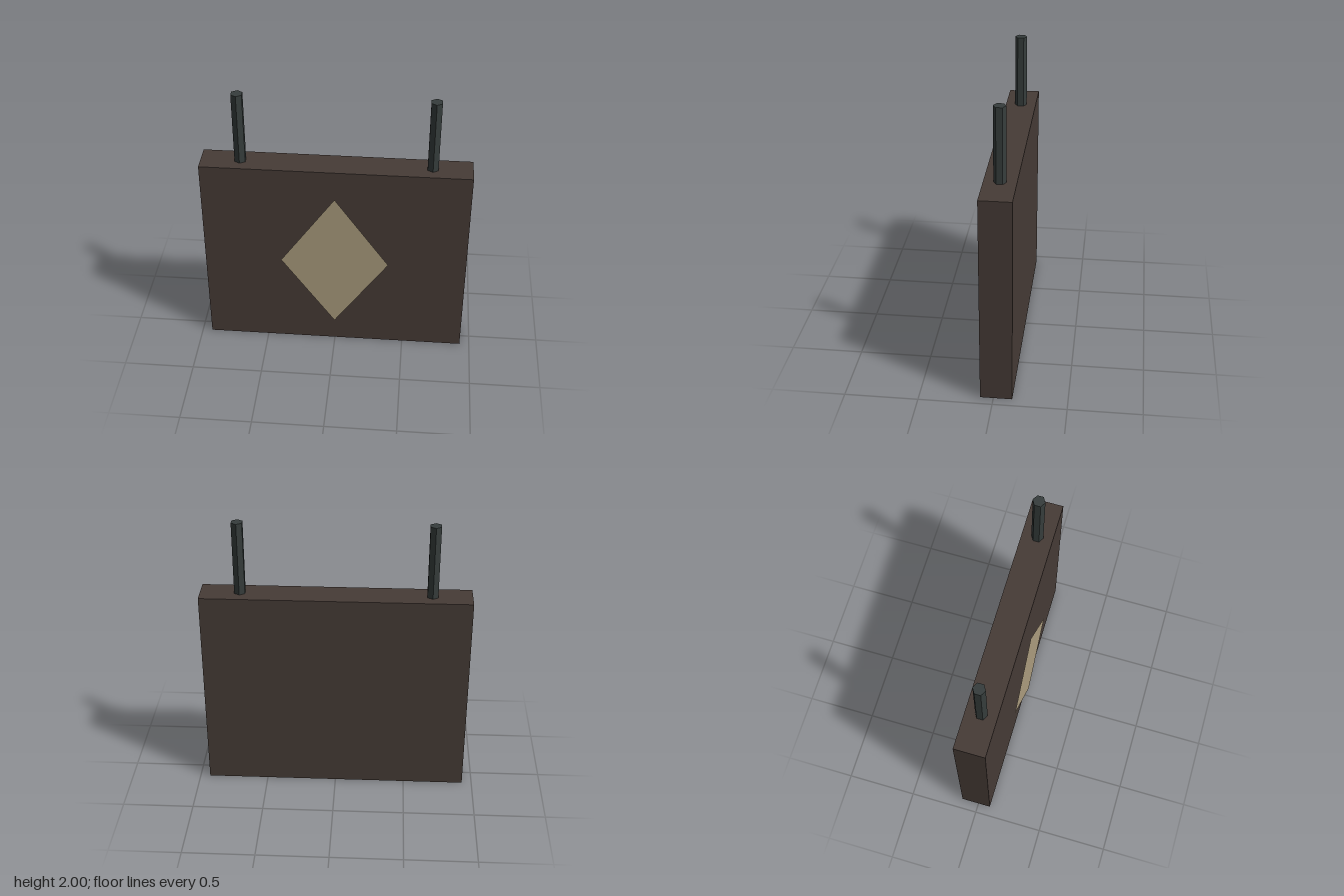
import * as THREE from 'three';

const material = (color, extra = {}) => {
  const m = new THREE.MeshStandardMaterial(extra);
  m.color.set(color);
  return m;
};

export function createModel() {
  const model = new THREE.Group();
  model.name = 'hangingSign';

  const add = (name, geometry, mat, x, y, z) => {
    const mesh = new THREE.Mesh(geometry, mat);
    mesh.name = name;
    mesh.position.set(x, y, z);
    model.add(mesh);
  };

  // Sign board
  add('board', new THREE.BoxGeometry(1.86, 1.48, 0.217), material(0x463b36), 0, 0.74, -0.0185);

  // Thin diamond panel, standing slightly proud of the board
  const diamond = new THREE.Shape([
    new THREE.Vector2(0, -0.543),
    new THREE.Vector2(0.38, 0),
    new THREE.Vector2(0, 0.543),
    new THREE.Vector2(-0.38, 0),
  ]);
  add('diamond', new THREE.ShapeGeometry(diamond),
    material(0xab9c7e, { side: THREE.DoubleSide }), 0, 0.742, 0.127);

  // Hexagonal hanging rods
  const rod = new THREE.CylinderGeometry(0.0425, 0.0425, 0.52, 6);
  const rodMaterial = material(0x363d3c, { flatShading: true });
  for (const side of [1, -1]) {
    add(side > 0 ? 'leftRod' : 'rightRod', rod, rodMaterial, side * 0.657, 1.74, -0.0185);
  }

  return model;
}
